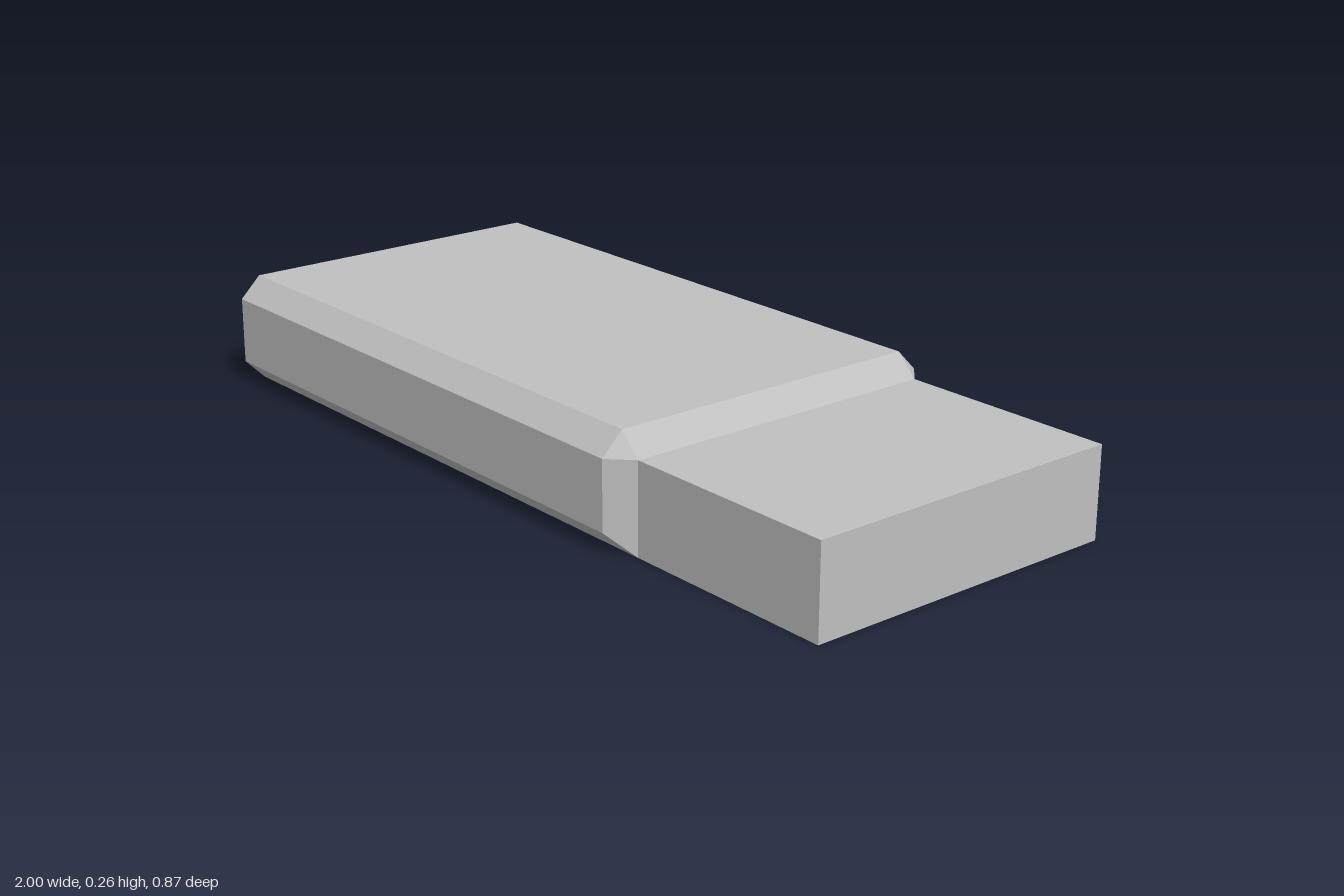
import * as THREE from 'three';
import { ConvexGeometry } from 'three/addons/geometries/ConvexGeometry.js';

const CHAMFER = 0.05;
const BODY = { back: -1, front: 0.485, top: 0.257, halfWidth: 0.435 };

export function createModel() {
  const group = new THREE.Group();
  group.name = 'flashDrive';
  const grey = new THREE.MeshStandardMaterial({ color: 0xc0c0c0 });
  grey.name = 'light grey';

  const shoulder = BODY.top - CHAMFER;
  const innerWidth = BODY.halfWidth - CHAMFER;
  const backInset = BODY.back + CHAMFER;
  const frontInset = BODY.front - CHAMFER;

  // Chamfered body: corner points mirrored in z; the underside runs flush into the plug
  const points = [];
  for (const side of [-1, 1]) {
    const add = (x, y, z) => points.push(new THREE.Vector3(x, y, side * z));
    for (const x of [backInset, frontInset]) {
      add(x, BODY.top, innerWidth);
      add(x, shoulder, BODY.halfWidth);
      add(x, CHAMFER, BODY.halfWidth);
    }
    add(BODY.back, shoulder, innerWidth);
    add(BODY.back, CHAMFER, innerWidth);
    add(backInset, 0, innerWidth);
    add(BODY.front, shoulder, innerWidth);
    add(BODY.front, 0, innerWidth);
  }
  const body = new THREE.Mesh(new ConvexGeometry(points), grey);
  body.name = 'body';
  group.add(body);

  // Plain rectangular plug
  const length = 1 - BODY.front;
  const plug = new THREE.Mesh(new THREE.BoxGeometry(length, shoulder, innerWidth * 2), grey);
  plug.name = 'plug';
  plug.position.set(BODY.front + length / 2, shoulder / 2, 0);
  group.add(plug);

  return group;
}
